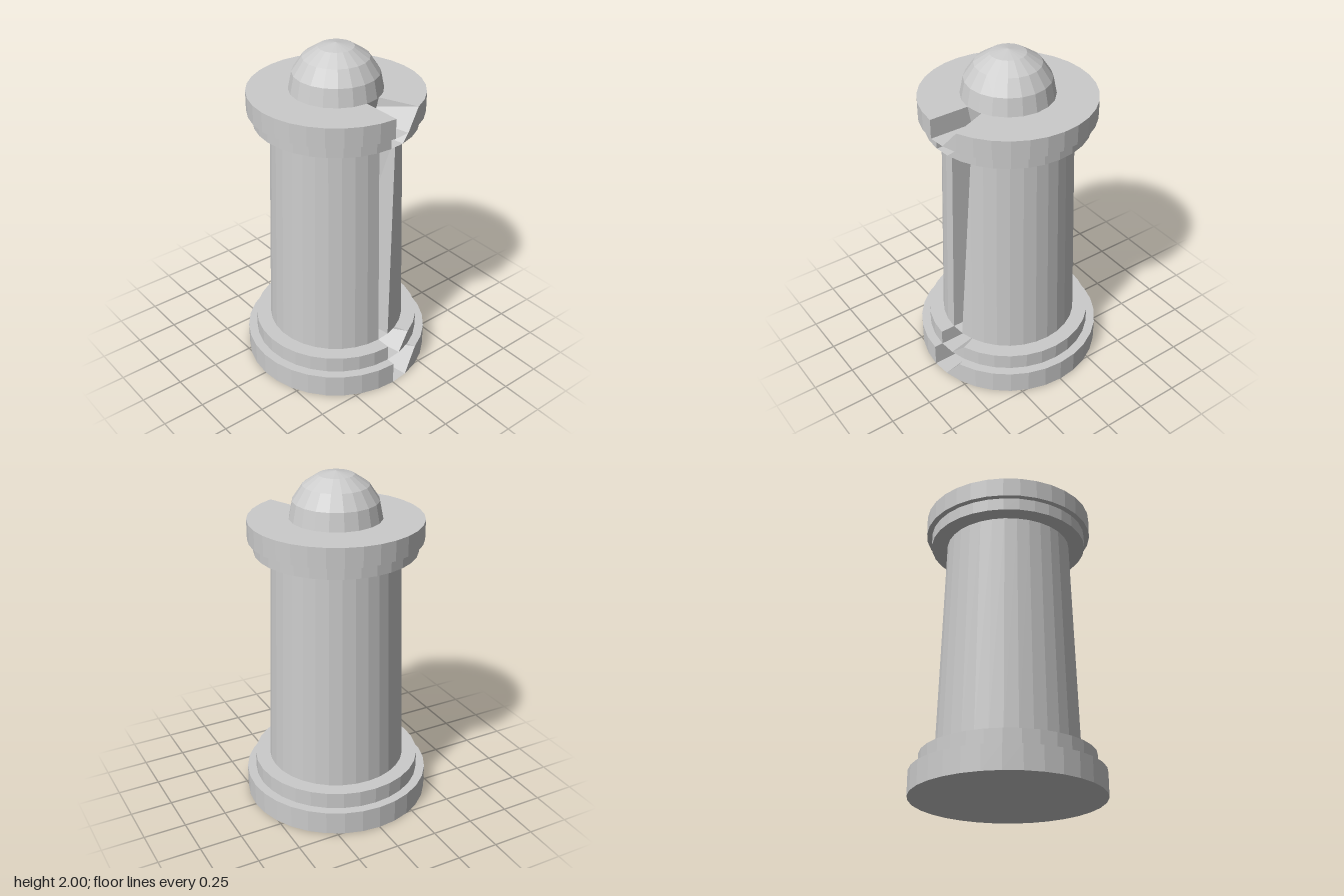
import * as THREE from 'three';

const SIDES = 32;
const material = new THREE.MeshStandardMaterial({ color: 0xcccccc, flatShading: true });

// Faceted drum with a wedge notch on its +x side: one top rim corner
// is pulled in to the centre of the floor.
function notchedDrum(name, rBottom, rTop, y0, y1) {
  const ring = (r, y) => Array.from({ length: SIDES }, (_, k) => {
    const a = -k * 2 * Math.PI / SIDES;
    return [r * Math.cos(a), y, r * Math.sin(a)];
  });
  const floor = [0, y0, 0];
  const roof = [0, y1, 0];
  const b = ring(rBottom, y0);
  const t = ring(rTop, y1);
  t[1] = floor;

  const positions = [];
  const tri = (...corners) => corners.forEach((c) => positions.push(...c));
  for (let k = 0; k < SIDES; k++) {
    const n = (k + 1) % SIDES;
    tri(b[k], b[n], t[n]); // wall
    tri(b[k], t[n], t[k]);
    tri(roof, t[k], t[n]); // top
    tri(floor, b[n], b[k]); // bottom
  }
  const geometry = new THREE.BufferGeometry();
  geometry.setAttribute('position', new THREE.Float32BufferAttribute(positions, 3));
  geometry.computeVertexNormals();
  const mesh = new THREE.Mesh(geometry, material);
  mesh.name = name;
  return mesh;
}

export function createModel() {
  const group = new THREE.Group();
  group.name = 'pillar';

  // Stepped foot, tapered shaft and stepped head
  group.add(
    notchedDrum('base', 0.548, 0.548, 0, 0.14),
    notchedDrum('baseStep', 0.495, 0.495, 0.14, 0.237),
    notchedDrum('shaft', 0.407, 0.368, 0.237, 1.55),
    notchedDrum('cornice', 0.463, 0.463, 1.55, 1.623),
    notchedDrum('capSlab', 0.495, 0.495, 1.623, 1.737),
  );

  // Ball sunk halfway into the head
  const dome = new THREE.Mesh(new THREE.SphereGeometry(0.263, 20, 8), material);
  dome.name = 'dome';
  dome.position.y = 1.737;
  group.add(dome);

  return group;
}
